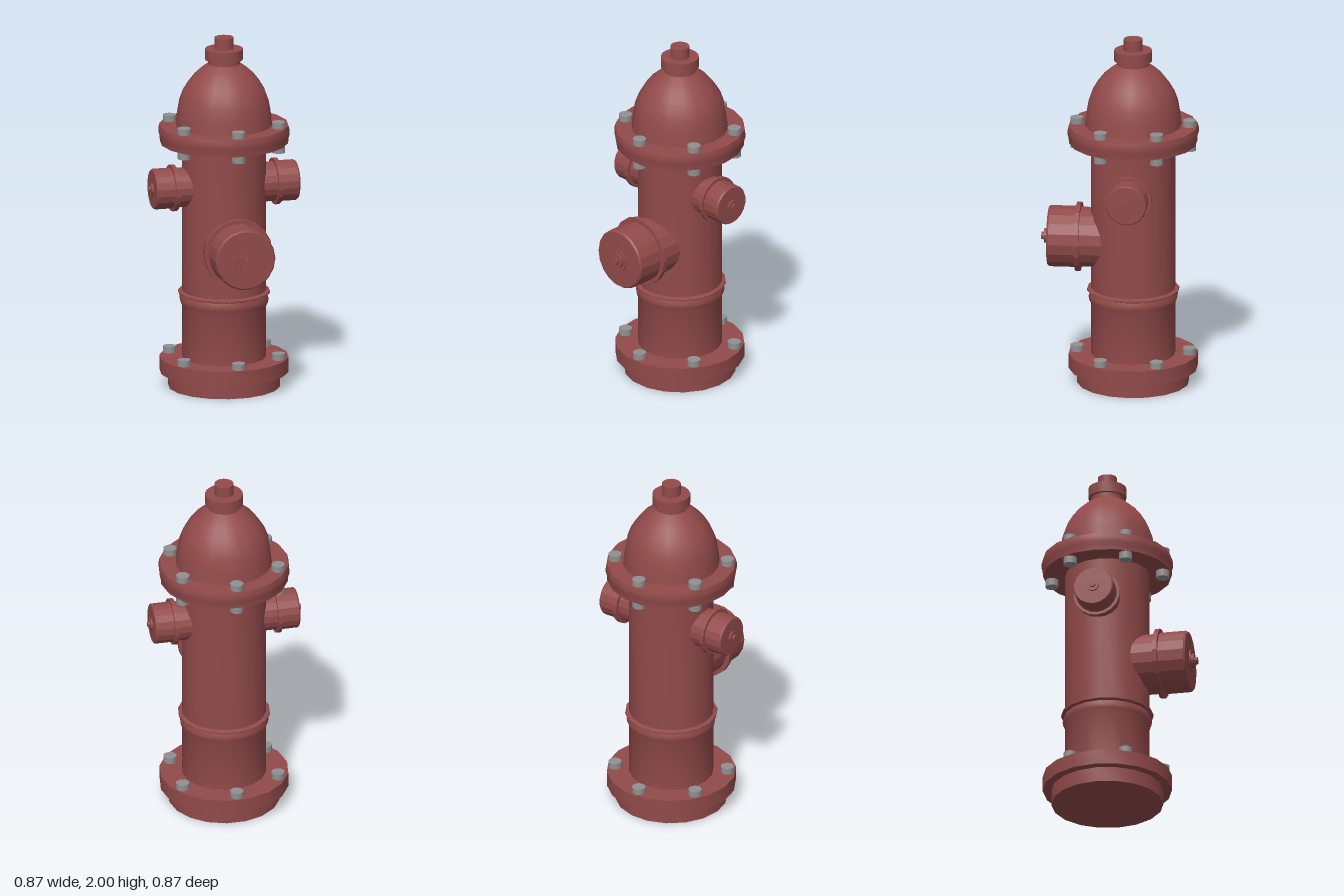
import * as THREE from 'three';
import { toCreasedNormals } from 'three/addons/utils/BufferGeometryUtils.js';

const SIDES = 18;
const AXIS_Z = -0.076;

// Lathe with 18 sides; profile is [radius, y] pairs from bottom to top.
function turned(profile, crease) {
  const points = profile.map(([r, y]) => new THREE.Vector2(r, y));
  const geometry = new THREE.LatheGeometry(points, SIDES, Math.PI / SIDES);
  return toCreasedNormals(geometry, crease);
}

export function createModel() {
  const model = new THREE.Group();
  model.name = 'fireHydrant';
  const red = new THREE.MeshStandardMaterial({ color: 0x924a4a });
  red.name = 'faded red paint';
  const steel = new THREE.MeshStandardMaterial({ color: 0x909090 });
  steel.name = 'grey steel';

  function add(name, geometry, material, x = 0, y = 0, z = AXIS_Z) {
    const mesh = new THREE.Mesh(geometry, material);
    mesh.name = name;
    mesh.position.set(x, y, z);
    model.add(mesh);
    return mesh;
  }

  // Foot and bolted base flange
  add('base', turned([
    [0, 0], [0.312, 0], [0.312, 0.085], [0.36, 0.085], [0.36, 0.17], [0.2, 0.17],
  ], 0.5), red);

  // Barrel with the raised ground-line band
  add('barrel', turned([
    [0.235, 0.16], [0.235, 0.46], [0.246, 0.485], [0.249, 0.505], [0.24, 0.53],
    [0.257, 0.537], [0.257, 0.546], [0.235, 0.553], [0.235, 1.41],
  ], 0.6), red);

  // Upper flange with a rounded rim
  add('topFlange', turned([
    [0.2, 1.4], [0.358, 1.4], [0.36, 1.43], [0.366, 1.45], [0.366, 1.475],
    [0.36, 1.5], [0.2, 1.5],
  ], 0.6), red);

  // Domed bonnet
  add('bonnet', turned([
    [0.27, 1.495], [0.262, 1.57], [0.25, 1.64], [0.23, 1.695], [0.2, 1.745],
    [0.165, 1.79], [0.125, 1.825], [0.09, 1.85], [0.09, 1.876],
  ], 0.6), red);

  // Operating nut and stem
  add('operatingNut', turned([
    [0.06, 1.874], [0.106, 1.874], [0.106, 1.935], [0.053, 1.935], [0.053, 2], [0, 2],
  ], 0.5), red);

  // Large front outlet, turned along y and then pointed to +z
  const front = add('frontOutlet', turned([
    [0.168, 0], [0.168, 0.215], [0.195, 0.215], [0.195, 0.24], [0.172, 0.24],
    [0.172, 0.385], [0.164, 0.396], [0.061, 0.398], [0.061, 0.406], [0.041, 0.406],
    [0.041, 0.42], [0.021, 0.42], [0.021, 0.436], [0, 0.436],
  ], 0.3), red, 0, 0.835, 0);
  front.rotation.x = Math.PI / 2;

  // Pair of smaller side outlets
  const sideGeometry = turned([
    [0.111, 0.1], [0.111, 0.283], [0.131, 0.283], [0.131, 0.307], [0.114, 0.307],
    [0.114, 0.403], [0.108, 0.412], [0.034, 0.413], [0.034, 0.424], [0.016, 0.424],
    [0.016, 0.437], [0, 0.437],
  ], 0.3);
  for (const [name, s] of [['leftOutlet', 1], ['rightOutlet', -1]]) {
    add(name, sideGeometry, red, 0, 1.154).rotation.z = -s * Math.PI / 2;
  }

  // Six bolts around each flange; the upper ones pass right through
  const longBolt = new THREE.CylinderGeometry(0.037, 0.037, 0.175, 20);
  const shortBolt = new THREE.CylinderGeometry(0.037, 0.037, 0.075, 20);
  for (let i = 0; i < 6; i++) {
    const angle = i * Math.PI / 3;
    const x = 0.314 * Math.sin(angle);
    const z = AXIS_Z + 0.314 * Math.cos(angle);
    add('topBolt', longBolt, steel, x, 1.447, z);
    add('baseBolt', shortBolt, steel, x, 0.1675, z);
  }
  return model;
}
